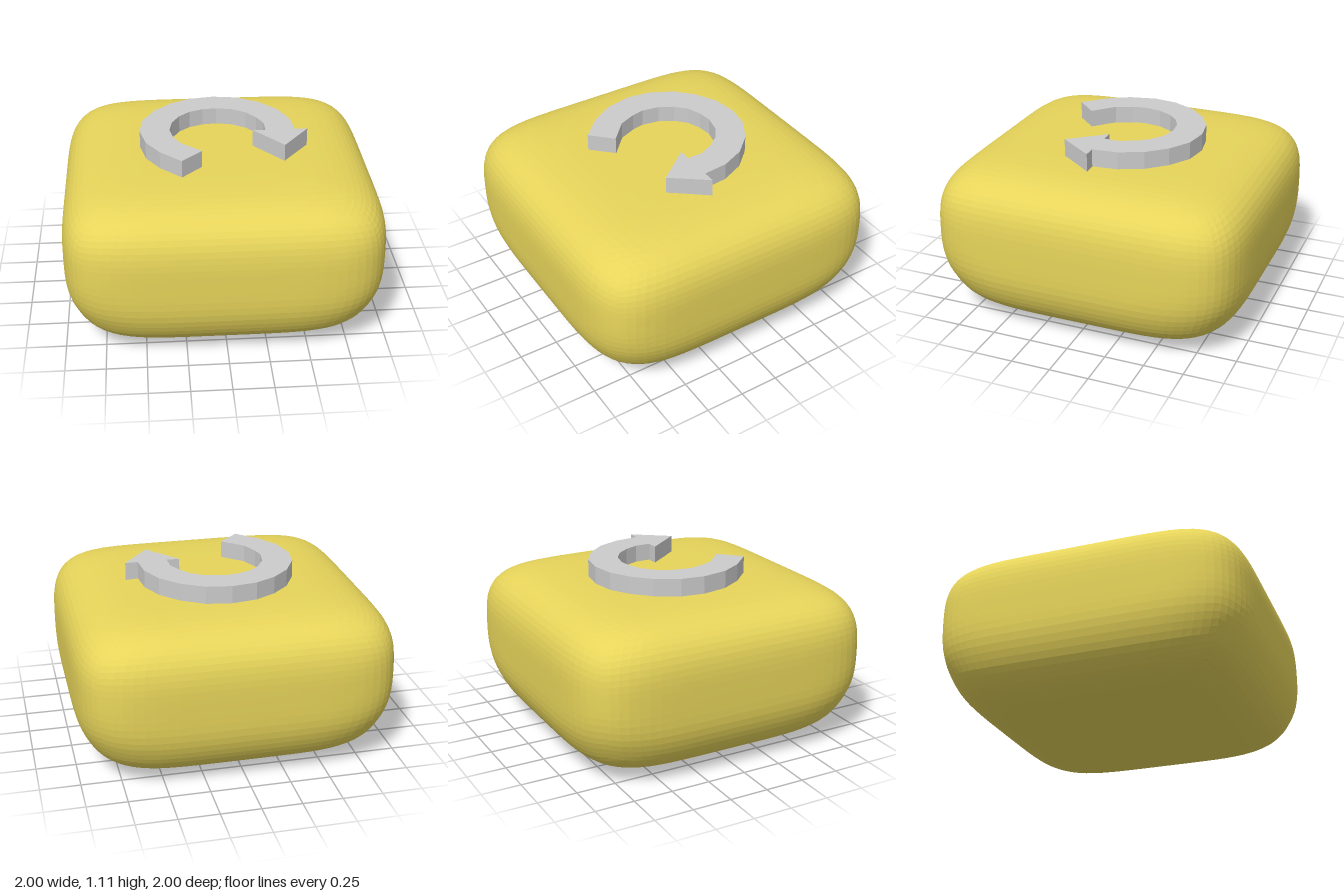
import * as THREE from 'three';
import { mergeVertices } from 'three/addons/utils/BufferGeometryUtils.js';

const MID = 0.55; // height of the widest section

// Rounded cushion form: a box projected onto a superellipsoid, softer underneath
function cushionGeometry() {
  let geo = new THREE.BoxGeometry(2, 2, 2, 28, 22, 28);
  geo.deleteAttribute('normal');
  geo.deleteAttribute('uv');
  geo = mergeVertices(geo);
  const pos = geo.attributes.position;
  const inside = (x, t, z) => {
    const soft = THREE.MathUtils.smoothstep(-t, 0, 0.6);
    const p = 6 - soft;
    const q = 3.5 - 0.7 * soft;
    return Math.abs(x) ** p + Math.abs(z) ** p + Math.abs(t) ** q < 1;
  };
  for (let i = 0; i < pos.count; i++) {
    const [x, t, z] = [pos.getX(i), pos.getY(i), pos.getZ(i)];
    let low = 0;
    let high = 1.01;
    for (let k = 0; k < 30; k++) {
      const s = (low + high) / 2;
      if (inside(x * s, t * s, z * s)) low = s;
      else high = s;
    }
    const h = t * low;
    pos.setXYZ(i, x * low, MID + h * (h > 0 ? 1 - MID : MID), z * low);
  }
  geo.computeVertexNormals();
  return geo;
}

// Curved arrow outline as [x, z], running clockwise from the tail
function arrowGeometry() {
  const outline = [
    // outer edge
    [-0.25, 0.44], [-0.38, 0.31], [-0.465, 0.17], [-0.5, 0], [-0.48, -0.15],
    [-0.4, -0.3], [-0.29, -0.405], [-0.16, -0.475], [0, -0.5], [0.16, -0.475],
    [0.3, -0.39], [0.41, -0.27], [0.475, -0.12], [0.49, 0.04],
    // head
    [0.57, 0.04], [0.4, 0.265], [0.22, 0.04], [0.3, 0.04],
    // inner edge
    [0.3, -0.06], [0.26, -0.15], [0.2, -0.23], [0.12, -0.285], [0.01, -0.31],
    [-0.08, -0.3], [-0.17, -0.265], [-0.24, -0.2], [-0.29, -0.11],
    [-0.31, 0], [-0.295, 0.08], [-0.25, 0.19], [-0.12, 0.31],
  ];
  const shape = new THREE.Shape(outline.map(([x, z]) => new THREE.Vector2(x, -z)));
  return new THREE.ExtrudeGeometry(shape, { depth: 0.14, bevelEnabled: false }).rotateX(-Math.PI / 2);
}

export function createModel() {
  const group = new THREE.Group();

  const body = new THREE.Mesh(
    cushionGeometry(),
    new THREE.MeshStandardMaterial({ color: 0xe6d45a, flatShading: true }),
  );
  body.name = 'cushionBody';

  const arrow = new THREE.Mesh(
    arrowGeometry(),
    new THREE.MeshStandardMaterial({ color: 0xcccccc, flatShading: true }),
  );
  arrow.name = 'curvedArrow';
  arrow.position.y = 0.97;

  group.add(body, arrow);
  return group;
}
